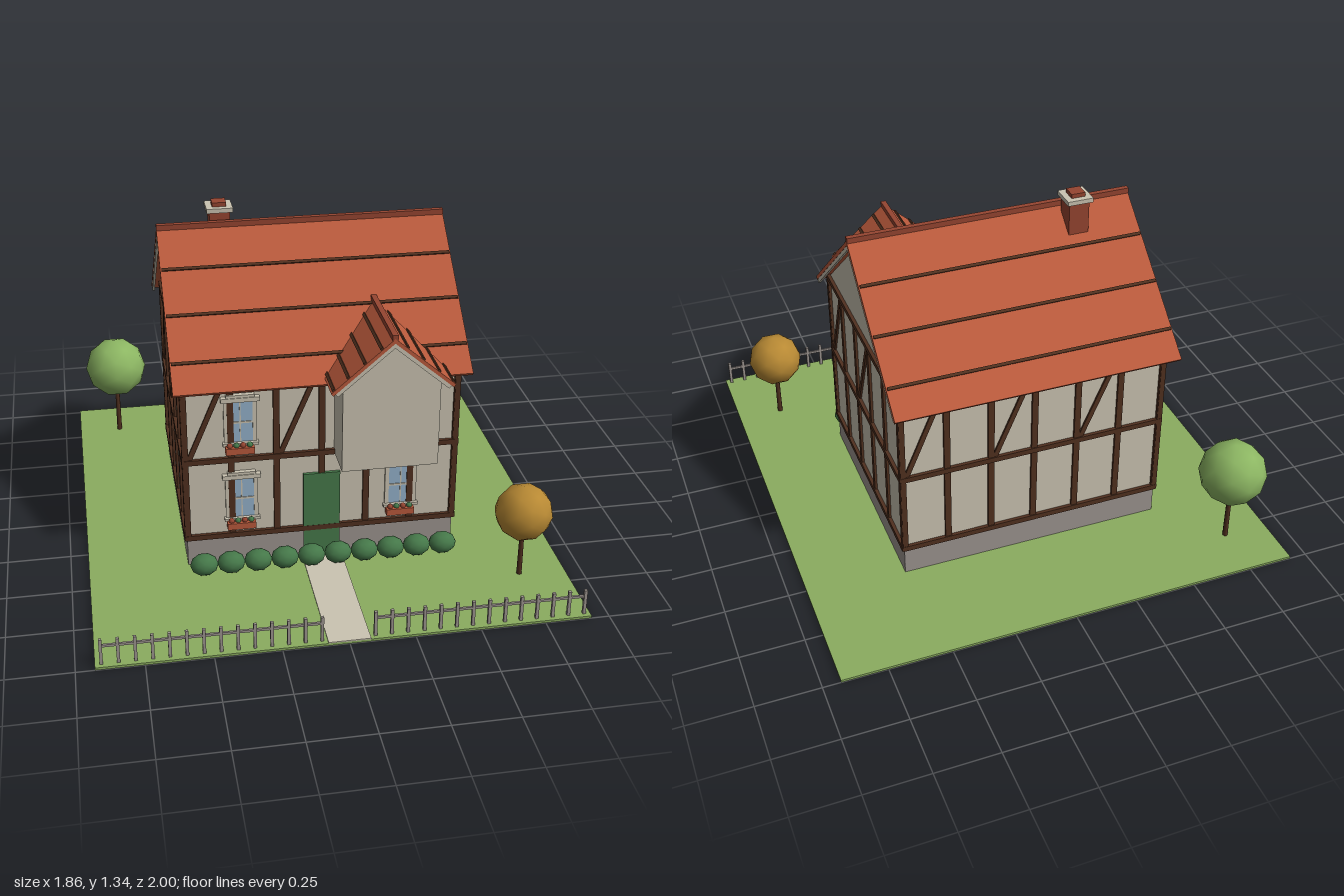
import * as THREE from 'three';

const mat = (name, color) => Object.assign(new THREE.MeshStandardMaterial({ color }), { name });

export function createModel() {
  const M = {
    grass: mat('grass', 0x8bad60), leaf: mat('leaf', 0x8db763), gold: mat('autumnLeaf', 0xb98a34),
    green: mat('deepGreen', 0x46794a), plaster: mat('plaster', 0xcbc4b2), stone: mat('stone', 0x9c948f),
    roof: mat('roofTile', 0xba5a3c), timber: mat('timber', 0x50301f), glass: mat('glass', 0x94b2cc),
    brick: mat('brick', 0x964531),
  };
  const root = new THREE.Group();
  root.name = 'cottage';

  const group = (name, parent = root) => {
    const g = new THREE.Group();
    g.name = name;
    parent.add(g);
    return g;
  };
  const mesh = (name, geo, m, parent, x = 0, y = 0, z = 0) => {
    const o = new THREE.Mesh(geo, m);
    o.name = name;
    o.position.set(x, y, z);
    parent.add(o);
    return o;
  };
  const box = (name, m, parent, w, h, d, x, y, z) =>
    mesh(name, new THREE.BoxGeometry(w, h, d), m, parent, x, y, z);
  const ball = (name, m, parent, r, x, y, z) =>
    mesh(name, new THREE.IcosahedronGeometry(r, 1), m, parent, x, y, z);
  const prism = (name, m, parent, pts, depth) => {
    const shape = new THREE.Shape(pts.map(p => new THREE.Vector2(...p)));
    return mesh(name, new THREE.ExtrudeGeometry(shape, { depth, bevelEnabled: false }), m, parent);
  };

  // Garden
  box('lawn', M.grass, root, 1.86, 0.01, 2, 0, 0.005, 0);
  box('path', M.plaster, root, 0.16, 0.005, 0.6, 0, 0.0115, 0.7);

  // House body: base and gabled walls
  const cz = -0.07, W = 1.07, D = 0.94;
  const house = group('house');
  house.position.z = cz;
  box('foundation', M.stone, house, W + 0.006, 0.125, D + 0.006, 0, 0.0725, 0);
  const walls = prism('walls', M.plaster, house,
    [[-D / 2, 0.13], [D / 2, 0.13], [D / 2, 0.842], [0, 1.235], [-D / 2, 0.842]], W);
  walls.rotation.y = Math.PI / 2;
  walls.position.x = -W / 2;

  // Timber framing of one wall, built facing +z
  const frameWall = (name, width, n, dist, angle, cutDoor) => {
    const g = group(name, house);
    g.rotation.y = angle;
    const step = width / n, t = 0.025;
    for (const y of [0.137, 0.477, 0.842])
      box('rail', M.timber, g, width + 0.02, 0.022, 0.022, 0, y, dist + 0.003);
    for (let i = 0; i <= n; i++) {
      const x = -width / 2 + i * step;
      const low = cutDoor && i === n / 2 ? 0.385 : 0.137;
      box('post', M.timber, g, t, 0.842 - low, 0.02, x, (0.842 + low) / 2, dist);
    }
    for (let i = 0; i < n - 1; i += 2) {
      const dx = step - 0.03, dy = 0.35;
      const brace = box('brace', M.timber, g, 0.02, Math.hypot(dx, dy), 0.016,
        -width / 2 + (i + 0.5) * step, 0.66, dist);
      brace.rotation.z = -Math.atan2(dx, dy);
    }
  };
  frameWall('frontFrame', W, 6, D / 2, 0, true);
  frameWall('backFrame', W, 6, D / 2, Math.PI, false);
  frameWall('rightFrame', D, 5, W / 2, -Math.PI / 2, false);
  frameWall('leftFrame', D, 5, W / 2, Math.PI / 2, false);

  // Gable roof: ridge along x at the group's origin, with course lines and verge boards
  const makeRoof = (name, run, drop, length, thick, courses) => {
    const g = group(name);
    const slope = Math.hypot(run, drop);
    for (const turn of [0, Math.PI]) {
      const side = group('roofSide', g);
      side.rotation.y = turn;
      const half = group('roofSlope', side);
      half.rotation.x = Math.atan2(drop, run);
      box('tiles', M.roof, half, length, thick, slope, 0, -thick / 2, slope / 2);
      for (const f of courses)
        box('courseLine', M.timber, half, length - 0.01, 0.008, 0.012, 0, 0.002, slope * f);
      for (const s of [-1, 1])
        box('vergeBoard', M.plaster, half, 0.01, 0.016, slope - 0.01,
          s * (length / 2 - 0.006), -thick - 0.007, slope / 2 - 0.005);
    }
    box('ridgeCap', M.brick, g, length, 0.022, 0.022, 0, 0.004, 0);
    return g;
  };
  makeRoof('mainRoof', 0.545, 0.46, 1.15, 0.016, [0.26, 0.54, 0.82]).position.set(0, 1.265, cz);

  // Projecting gabled bay
  const bay = prism('bay', M.plaster, root,
    [[-0.188, 0.47], [0.188, 0.47], [0.188, 0.845], [0, 1.008], [-0.188, 0.845]], 0.34);
  bay.position.set(0.238, 0, 0.22);
  const bayRoof = makeRoof('bayRoof', 0.238, 0.205, 0.385, 0.014, [0.2, 0.46, 0.72, 0.95]);
  bayRoof.rotation.y = Math.PI / 2;
  bayRoof.position.set(0.238, 1.026, 0.395);

  // Chimney
  const chimney = group('chimney');
  chimney.position.set(-0.322, 0, -0.135);
  box('stack', M.brick, chimney, 0.082, 0.2, 0.082, 0, 1.21, 0);
  box('cap', M.plaster, chimney, 0.105, 0.018, 0.105, 0, 1.317, 0);
  box('flue', M.brick, chimney, 0.056, 0.02, 0.056, 0, 1.333, 0);

  // Door
  box('door', M.green, root, 0.146, 0.375, 0.02, 0, 0.1975, 0.403);

  // Windows with frame, bars, lintel, sill and flower box
  const makeWindow = (x, y) => {
    const g = group('window');
    g.position.set(x, y, 0.4);
    box('glass', M.glass, g, 0.105, 0.185, 0.008, 0, 0, 0.002);
    for (const s of [-1, 1])
      box('jamb', M.plaster, g, 0.016, 0.2, 0.014, s * 0.056, 0, 0.002);
    box('lintel', M.plaster, g, 0.15, 0.018, 0.03, 0, 0.096, 0.006);
    box('crown', M.plaster, g, 0.11, 0.012, 0.024, 0, 0.11, 0.006);
    box('sill', M.plaster, g, 0.14, 0.012, 0.03, 0, -0.095, 0.006);
    box('glazingBar', M.plaster, g, 0.1, 0.008, 0.006, 0, -0.005, 0.006);
    box('glazingPost', M.plaster, g, 0.005, 0.185, 0.006, 0, 0, 0.005);
    box('flowerBox', M.roof, g, 0.112, 0.028, 0.035, -0.006, -0.112, 0.028);
    for (let i = 0; i < 4; i++)
      ball('flower', i % 2 ? M.green : M.brick, g, 0.012, -0.045 + i * 0.026, -0.094, 0.028);
  };
  makeWindow(-0.318, 0.642);
  makeWindow(-0.318, 0.306);
  makeWindow(0.32, 0.306);

  // Hedge
  const hedge = group('hedge');
  for (let i = 0; i < 10; i++)
    ball('bush', M.green, hedge, 0.05, -0.481 + i * 0.107, 0.057, 0.482).scale.set(1.12, 0.9, 0.9);

  // Trees
  const makeTree = (m, r, x, y, z) => {
    const g = group('tree');
    g.position.set(x, 0, z);
    mesh('trunk', new THREE.CylinderGeometry(0.009, 0.011, y, 8), M.timber, g, 0, y / 2, 0);
    ball('crown', m, g, r, 0, y, 0);
  };
  makeTree(M.leaf, 0.135, -0.75, 0.335, -0.79);
  makeTree(M.gold, 0.114, 0.745, 0.293, 0.68);

  // Picket fence on both sides of the path
  for (const s of [-1, 1]) {
    const fence = group(s < 0 ? 'rightFence' : 'leftFence');
    box('fenceRail', M.stone, fence, 0.815, 0.01, 0.008, s * 0.503, 0.086, 0.975);
    for (let i = 0; i < 14; i++)
      box('picket', M.stone, fence, 0.012, 0.105, 0.012, s * (0.1 + i * 0.062), 0.0625, 0.977);
  }
  return root;
}
